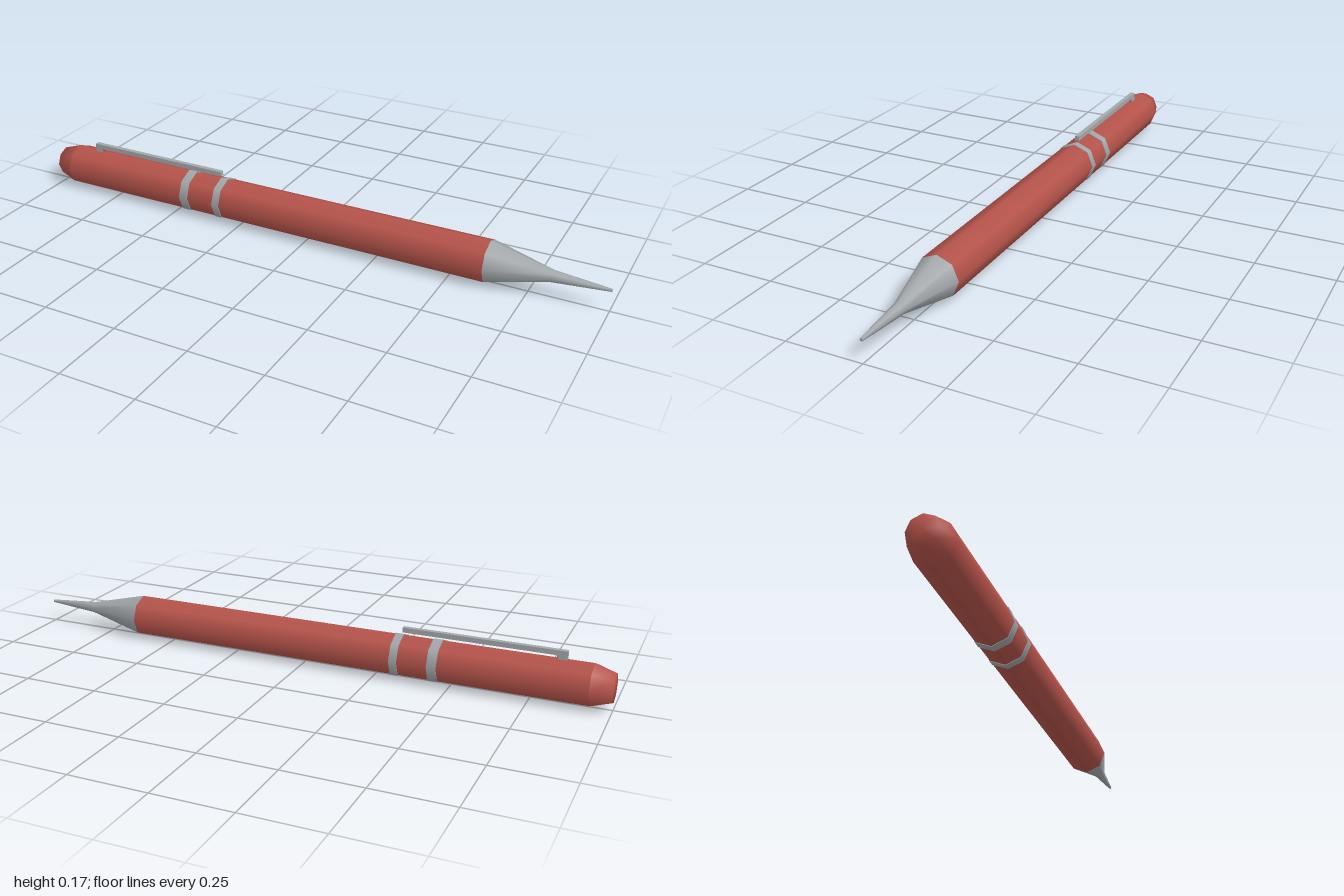
import * as THREE from 'three';

const AXIS_Y = 0.0725;

export function createModel() {
  const pen = new THREE.Group();
  pen.name = 'pen';

  const red = new THREE.MeshStandardMaterial({ color: 0xb5534a });
  red.name = 'red lacquer';
  const steel = new THREE.MeshStandardMaterial({ color: 0xa2a7aa });
  steel.name = 'steel grey';

  // Eight-sided part turned about the pen's long axis; profile is [x, radius]
  function turned(name, profile, material) {
    const points = profile.map(([x, r]) => new THREE.Vector2(r, x));
    const geometry = new THREE.LatheGeometry(points, 8);
    geometry.rotateZ(-Math.PI / 2);
    const mesh = new THREE.Mesh(geometry, material);
    mesh.name = name;
    mesh.position.y = AXIS_Y;
    pen.add(mesh);
  }

  // Block spanning the given x and y ranges
  function block(name, x0, x1, y0, y1, depth, material) {
    const mesh = new THREE.Mesh(new THREE.BoxGeometry(x1 - x0, y1 - y0, depth), material);
    mesh.name = name;
    mesh.position.set((x0 + x1) / 2, (y0 + y1) / 2, 0);
    pen.add(mesh);
  }

  // Barrel: rounded end, then the straight body
  turned('barrelEnd', [[-1, 0], [-1, 0.048], [-0.935, 0.07]], red);
  turned('barrel', [[-0.935, 0.07], [0.62, 0.07]], red);

  // Tapered metal nose
  turned('tip', [[0.62, 0.07], [0.82, 0.02], [1, 0.005]], steel);
  turned('tipEnd', [[1, 0.005], [1, 0]], steel);

  // Two metal bands around the barrel
  for (const [x0, x1] of [[-0.467, -0.436], [-0.338, -0.312]]) {
    turned('bandSide', [[x0, 0.069], [x0, 0.0725]], steel);
    turned('band', [[x0, 0.0725], [x1, 0.0725]], steel);
    turned('bandSide', [[x1, 0.0725], [x1, 0.069]], steel);
  }

  // Pocket clip: long bar on a short foot with a red inner face
  block('clipBar', -0.855, -0.335, 0.152, 0.168, 0.016, steel);
  block('clipFoot', -0.855, -0.825, 0.135, 0.152, 0.016, steel);
  block('clipFootInnerFace', -0.825, -0.823, 0.135, 0.152, 0.016, red);

  return pen;
}
